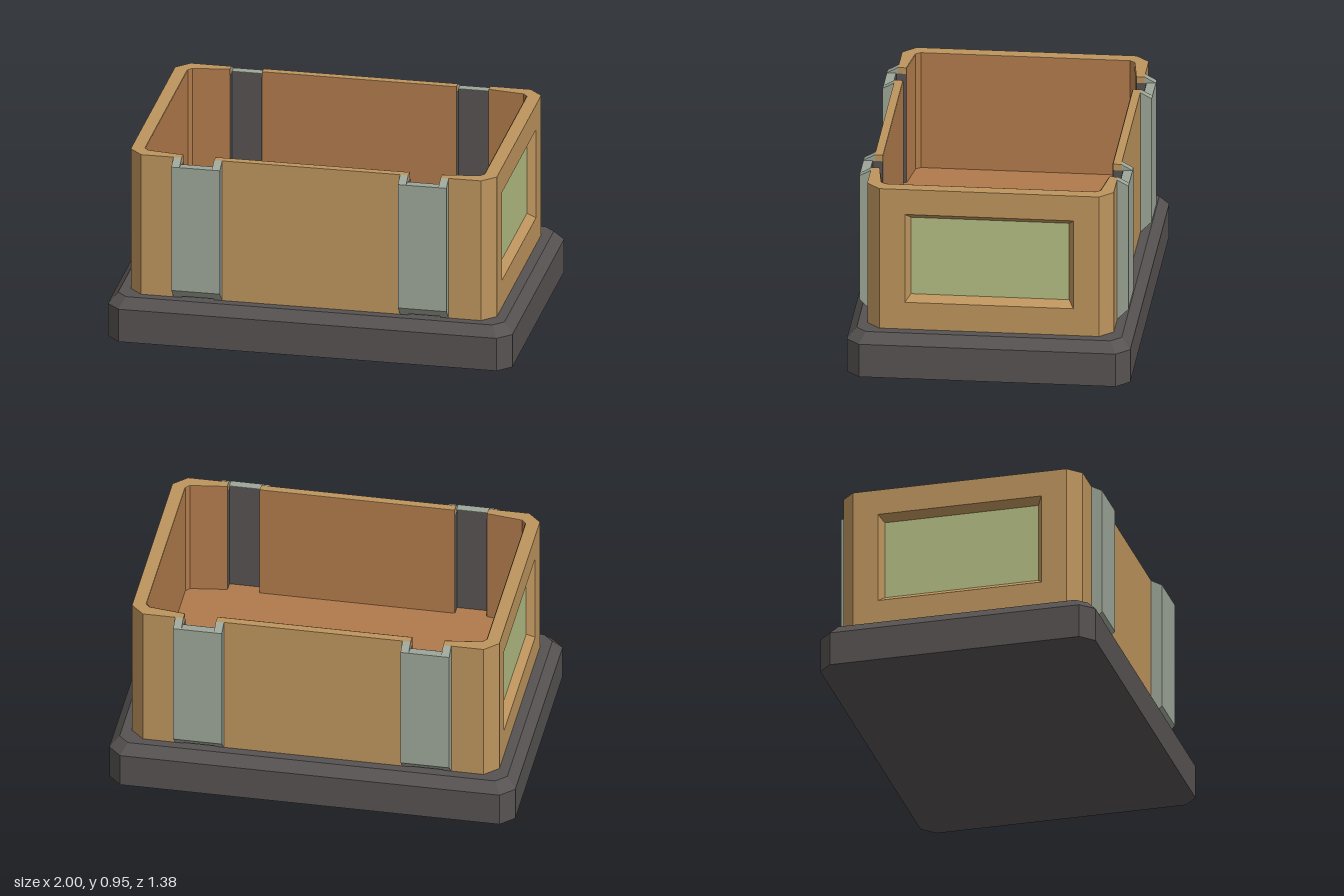
import * as THREE from 'three';

const mat = (name, color, double) => {
  const m = new THREE.MeshStandardMaterial({ color });
  m.name = name;
  m.flatShading = true;
  if (double) m.side = THREE.DoubleSide;
  return m;
};

export function createModel() {
  const model = new THREE.Group();
  model.name = 'openBox';
  const tan = mat('tan wood', 0xbd945d, true);
  const brown = mat('brown lining', 0xb07a4b, true);
  const dark = mat('dark base', 0x565251, true);
  const grey = mat('grey strap', 0x9da698, true);
  const green = mat('green panel', 0xb3bd83);

  const add = (name, geometry, material) => {
    const mesh = new THREE.Mesh(geometry, material);
    mesh.name = name;
    model.add(mesh);
    return mesh;
  };
  const box = (name, x0, x1, y0, y1, z0, z1, material) =>
    add(name, new THREE.BoxGeometry(Math.abs(x1 - x0), y1 - y0, Math.abs(z1 - z0))
      .translate((x0 + x1) / 2, (y0 + y1) / 2, (z0 + z1) / 2), material);
  const shape = pts => new THREE.Shape(pts.map(p => new THREE.Vector2(p[0], p[1])));

  // Plan outline [x, z] extruded upward from y0 to y1
  const prism = (name, pts, y0, y1, material) => {
    const g = new THREE.ExtrudeGeometry(shape(pts.map(([x, z]) => [x, -z])),
      { depth: y1 - y0, bevelEnabled: false });
    return add(name, g.rotateX(-Math.PI / 2).translate(0, y0, 0), material);
  };

  // Flat quads joining two rows of 3D points
  const loft = (a, b, closed) => {
    const v = [], n = a.length;
    for (let i = 0; i < (closed ? n : n - 1); i++) {
      const j = (i + 1) % n;
      v.push(...a[i], ...a[j], ...b[j], ...a[i], ...b[j], ...b[i]);
    }
    const g = new THREE.BufferGeometry();
    g.setAttribute('position', new THREE.Float32BufferAttribute(v, 3));
    g.computeVertexNormals();
    return g;
  };
  const sheet = (name, path, y0, y1, material) => add(name,
    loft(path.map(([x, z]) => [x, y0, z]), path.map(([x, z]) => [x, y1, z])), material);

  // Base: slab with cut corners and a bevelled top edge
  const octagon = (x, z, c) => [[x, z - c], [x, c - z], [x - c, -z], [c - x, -z],
    [-x, c - z], [-x, z - c], [c - x, z], [x - c, z]];
  const lower = octagon(1, 0.69, 0.065), upper = octagon(0.955, 0.645, 0.05);
  prism('baseSlab', lower, 0, 0.17, dark);
  add('baseBevel', loft(lower.map(([x, z]) => [x, 0.17, z]),
    upper.map(([x, z]) => [x, 0.22, z]), true), dark);
  prism('baseTop', upper, 0.19, 0.22, dark);

  // Interior floor
  const bottom = 0.22, top = 0.95, floorY = 0.35;
  box('floor', -0.84, 0.84, floorY - 0.02, floorY, -0.56, 0.56, brown);

  // Corner posts, straps and the channels behind them
  for (const sx of [-1, 1]) for (const sz of [-1, 1]) {
    const q = pts => pts.map(([x, z]) => [x * sx, z * sz]);
    prism('cornerWall', q([[0.64, 0.6], [0.84, 0.6], [0.905, 0.535], [0.905, 0.41],
      [0.84, 0.41], [0.84, 0.51], [0.82, 0.535], [0.64, 0.56]]), bottom, top, tan);

    const strapPart = (name, x0, x1, profile) => {
      const g = new THREE.ExtrudeGeometry(shape(profile.map(([z, y]) => [-z * sz, y])),
        { depth: x1 - x0, bevelEnabled: false });
      g.rotateY(Math.PI / 2).translate(sx > 0 ? x0 : -x1, 0, 0);
      add(name, g, grey);
    };
    const rail = [[0.6, 0.22], [0.655, 0.275], [0.655, 0.92], [0.6, 0.95]];
    strapPart('strapInnerRail', 0.44, 0.48, rail);
    strapPart('strapOuterRail', 0.64, 0.68, rail);
    strapPart('strapPlate', 0.48, 0.64, [[0.61, 0.23], [0.655, 0.275], [0.655, 0.92], [0.61, 0.92]]);
    sheet('channelLining', q([[0.638, 0.56], [0.638, 0.608], [0.482, 0.608], [0.482, 0.56]]),
      floorY, 0.919, dark);
    box('channelFloor', 0.48 * sx, 0.64 * sx, floorY - 0.02, floorY, 0.56 * sz, 0.609 * sz, brown);
  }

  // Long walls between the straps
  for (const s of [-1, 1]) {
    box('longWall', -0.48, 0.48, bottom, top, 0.56 * s, 0.6 * s, tan);
    sheet('longWallLining', [[-0.48, 0.557 * s], [0.48, 0.557 * s]], floorY, top - 0.001, brown);
  }

  // End walls with a bevelled window recess
  for (const s of [-1, 1]) {
    box('endSill', 0.84 * s, 0.905 * s, bottom, 0.36, -0.41, 0.41, tan);
    box('endLintel', 0.84 * s, 0.905 * s, 0.82, top, -0.41, 0.41, tan);
    const rect = (x, w, y0, y1) => [[x, y0, w], [x, y0, -w], [x, y1, -w], [x, y1, w]];
    const outer = rect(0.905 * s, 0.41, 0.36, 0.82), inner = rect(0.865 * s, 0.385, 0.39, 0.79);
    add('windowFrame', s > 0 ? loft(outer, inner, true) : loft(inner, outer, true), tan);
    box('windowPanel', 0.857 * s, 0.865 * s, 0.385, 0.795, -0.39, 0.39, green);
    const half = [[0.64, 0.557], [0.818, 0.532], [0.837, 0.509]];
    const path = [...half, ...half.map(([x, z]) => [x, -z]).reverse()];
    sheet('endLining', path.map(([x, z]) => [x * s, z]), floorY, top - 0.001, brown);
  }
  return model;
}
